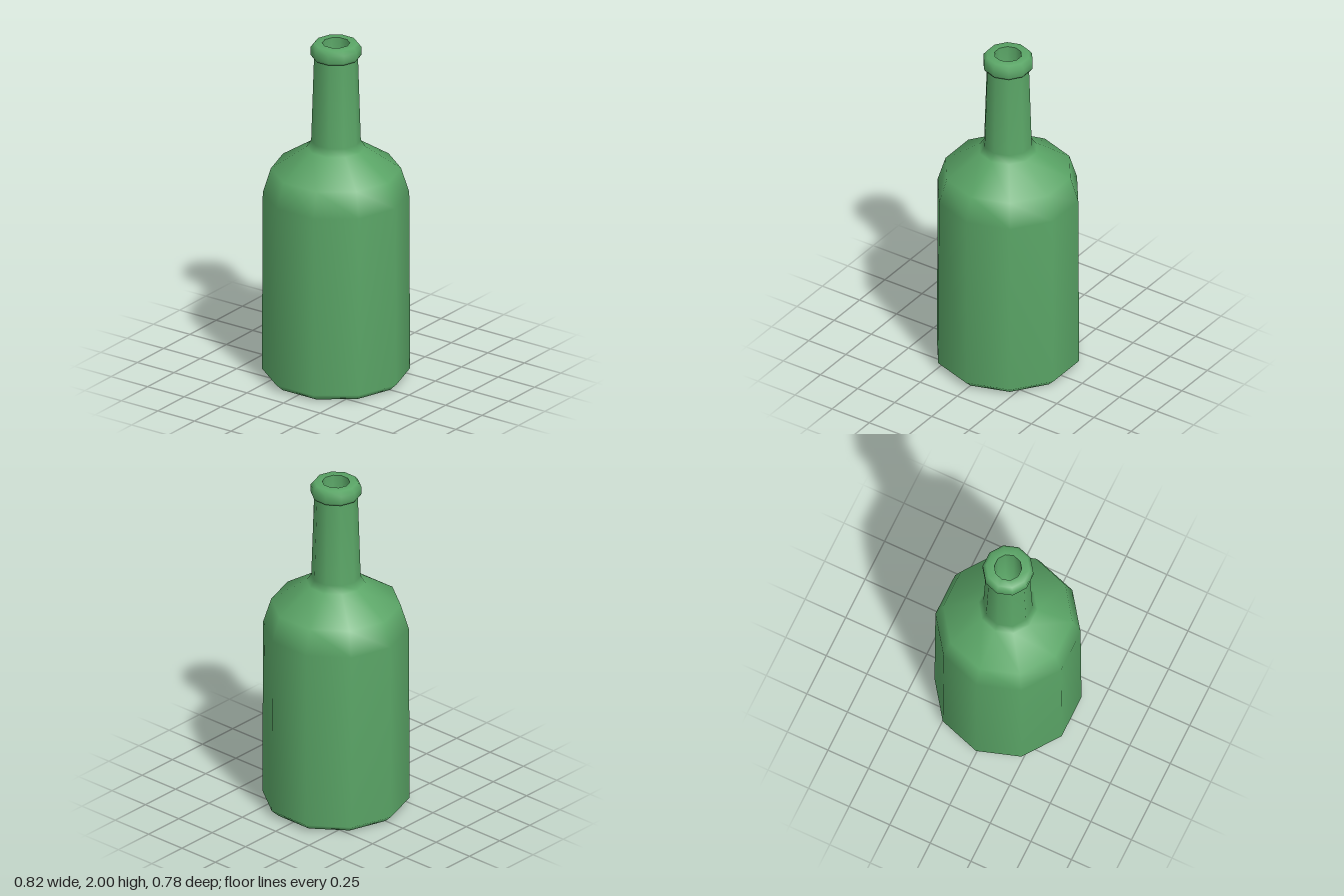
import * as THREE from 'three';

const SIDES = 10;

export function createModel() {
  const bottle = new THREE.Group();
  bottle.name = 'bottle';
  const glass = new THREE.MeshStandardMaterial({ color: 0x5aa566 });

  // Turns a [radius, height] profile into a ten-sided part with a corner on the x axis
  function turned(name, profile) {
    const points = profile.map(([r, y]) => new THREE.Vector2(r, y));
    const mesh = new THREE.Mesh(new THREE.LatheGeometry(points, SIDES, Math.PI / 2), glass);
    mesh.name = name;
    bottle.add(mesh);
  }

  // Base with bevelled foot, straight body, shoulder and tapering neck
  turned('body', [
    [0, 0], [0.37, 0], [0.412, 0.04], [0.407, 1.1], [0.362, 1.245],
    [0.165, 1.375], [0.138, 1.415], [0.122, 1.92],
  ]);

  // Rounded collar around the mouth
  turned('lip', [
    [0.118, 1.915], [0.132, 1.915], [0.142, 1.93], [0.142, 1.975],
    [0.122, 2], [0.077, 2],
  ]);

  // Hollow inside the neck, closed at the bottom
  turned('mouth', [[0.077, 2], [0.075, 1.7], [0, 1.7]]);

  return bottle;
}
